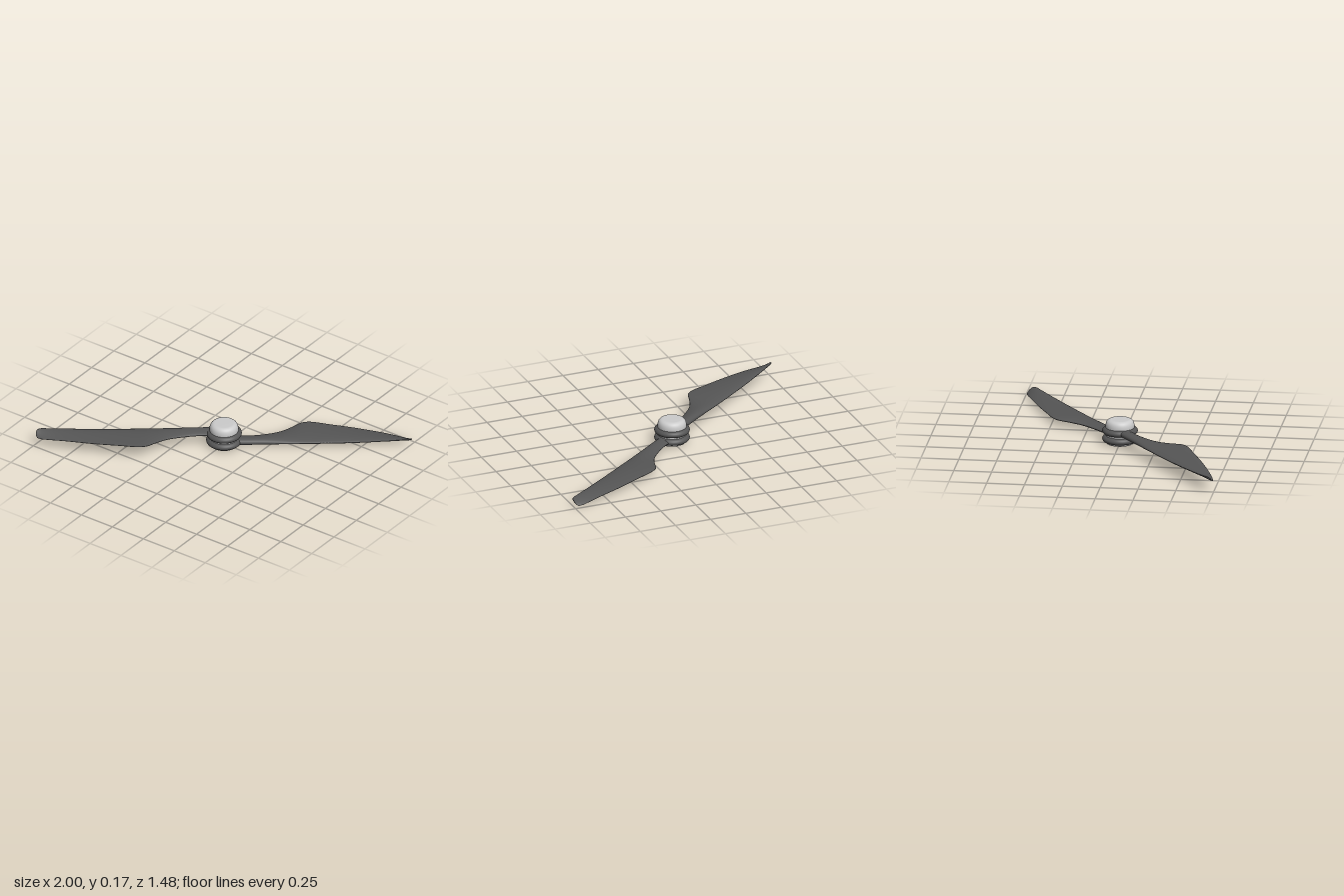
import * as THREE from 'three';

const dark = new THREE.MeshStandardMaterial({ color: 0x555555 });
const light = new THREE.MeshStandardMaterial({ color: 0xcccccc });

// Blade stations: distance from hub, leading edge, trailing edge, their heights, thickness
const STATIONS = [
  [0, -0.05, 0.05, 0.035, 0.035, 0.045],
  [0.15, -0.05, 0.04, 0.034, 0.036, 0.045],
  [0.27, -0.047, 0.058, 0.034, 0.036, 0.044],
  [0.37, -0.048, 0.09, 0.033, 0.038, 0.04],
  [0.45, -0.049, 0.142, 0.032, 0.042, 0.036],
  [0.505, -0.049, 0.185, 0.032, 0.046, 0.034],
  [0.56, -0.049, 0.196, 0.032, 0.047, 0.032],
  [0.7, -0.046, 0.17, 0.033, 0.042, 0.03],
  [0.85, -0.043, 0.14, 0.035, 0.036, 0.028],
  [1.05, -0.037, 0.089, 0.042, 0.027, 0.022],
  [1.15, -0.033, 0.06, 0.047, 0.018, 0.02],
  [1.2, -0.03, 0.042, 0.05, 0.013, 0.017],
  [1.225, -0.018, 0.026, 0.047, 0.014, 0.014],
  [1.233, 0.004, 0.01, 0.034, 0.026, 0.003],
];

// Airfoil sections lofted between the leading and trailing edge curves
function bladeGeometry(steps = 104, sides = 28) {
  const curve = (fn) => new THREE.CatmullRomCurve3(STATIONS.map(fn));
  const lead = curve(([s, l, , y]) => new THREE.Vector3(s, y, -l));
  const trail = curve(([s, , t, , y]) => new THREE.Vector3(s, y, -t));
  const thick = curve(([s, , , , , h]) => new THREE.Vector3(s, h, 0));
  const pos = [], index = [];
  for (let i = 0; i <= steps; i++) {
    const k = i / steps;
    const a = lead.getPoint(k), b = trail.getPoint(k), h = thick.getPoint(k).y;
    for (let j = 0; j < sides; j++) {
      const ang = (j / sides) * Math.PI * 2;
      const u = (1 - Math.cos(ang)) / 2;
      const p = a.clone().lerp(b, u);
      p.y += 0.55 * h * Math.sin(ang) * (1.1 - 0.6 * u);
      pos.push(p.x, p.y, p.z);
      if (i < steps) {
        const n = i * sides + ((j + 1) % sides), m = i * sides + j;
        index.push(m, m + sides, n, n, m + sides, n + sides);
      }
    }
  }
  // Close the tip
  const last = steps * sides;
  for (let j = 1; j < sides - 1; j++) index.push(last, last + j + 1, last + j);
  const g = new THREE.BufferGeometry();
  g.setAttribute('position', new THREE.Float32BufferAttribute(pos, 3));
  g.setIndex(index);
  g.computeVertexNormals();
  return g;
}

// Lathe from [radius, height] points, smoothed by a spline
function turned(points, divisions) {
  const spline = new THREE.SplineCurve(points.map(([r, y]) => new THREE.Vector2(r, y)));
  return new THREE.LatheGeometry(spline.getPoints(divisions), 48);
}

export function createModel() {
  const model = new THREE.Group();
  const blade = bladeGeometry();
  const ring = turned([
    [0.08, 0.013], [0.1, 0.014], [0.112, 0.021], [0.117, 0.034],
    [0.112, 0.046], [0.1, 0.055], [0.08, 0.059],
  ], 24);

  // Two stacked blades pointing opposite ways, each with its root ring
  ['lower', 'upper'].forEach((name, i) => {
    const group = new THREE.Group();
    group.name = name + 'Blade';
    const wing = new THREE.Mesh(blade, dark);
    wing.name = name + 'BladeWing';
    const collar = new THREE.Mesh(ring, dark);
    collar.name = name + 'BladeCollar';
    group.add(wing, collar);
    group.position.y = i * 0.054;
    group.rotation.y = THREE.MathUtils.degToRad(36) + i * Math.PI;
    model.add(group);
  });

  // Hub with flat underside and rounded cap
  const profile = new THREE.Path();
  profile.moveTo(0, 0);
  profile.lineTo(0.08, 0);
  profile.quadraticCurveTo(0.095, 0, 0.095, 0.014);
  profile.lineTo(0.095, 0.118);
  profile.bezierCurveTo(0.095, 0.145, 0.085, 0.163, 0.06, 0.165);
  profile.lineTo(0, 0.165);
  const hub = new THREE.Mesh(new THREE.LatheGeometry(profile.getPoints(10), 48), light);
  hub.name = 'hub';
  model.add(hub);
  return model;
}
